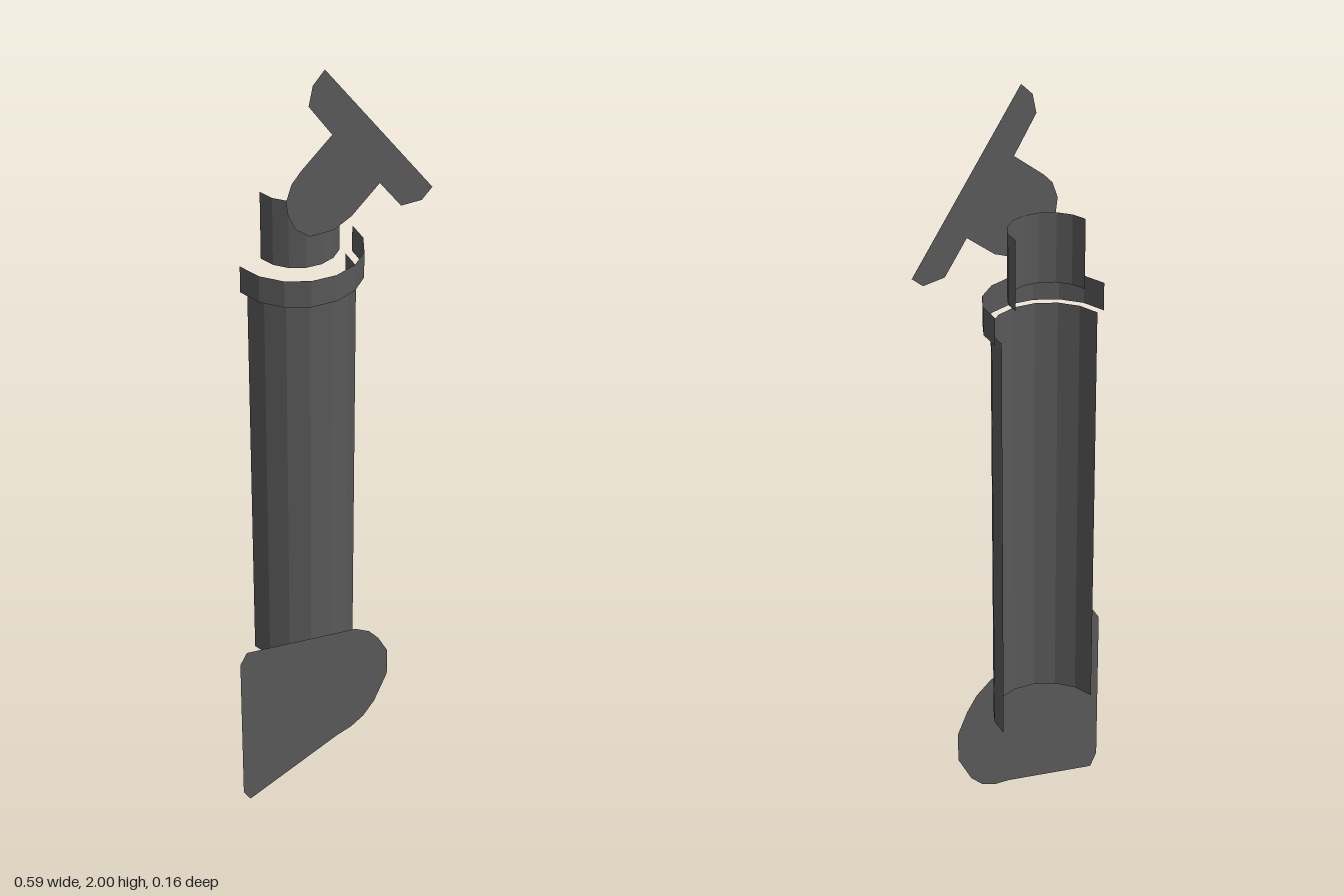
import * as THREE from 'three';

const darkGrey = new THREE.MeshStandardMaterial({ color: 0x585858, side: THREE.DoubleSide, flatShading: true });
darkGrey.name = 'dark grey';

const AXIS_X = -0.017;
const BACK_Z = -0.08;

// open half tube, bulging towards the front
function halfTube(name, radius, bottom, top) {
  const geo = new THREE.CylinderGeometry(radius, radius, top - bottom, 8, 1, true, -Math.PI / 2, Math.PI);
  const mesh = new THREE.Mesh(geo, darkGrey);
  mesh.name = name;
  mesh.position.set(AXIS_X, (bottom + top) / 2, BACK_Z);
  return mesh;
}

// flat upright plate cut from an outline
function plate(name, outline, z) {
  const shape = new THREE.Shape(outline.map(([x, y]) => new THREE.Vector2(x, y)));
  const mesh = new THREE.Mesh(new THREE.ShapeGeometry(shape), darkGrey);
  mesh.name = name;
  mesh.position.z = z;
  return mesh;
}

export function createModel() {
  const group = new THREE.Group();
  group.name = 'strut';

  // telescoping cylinder
  group.add(
    halfTube('mainTube', 0.139, 0.36, 1.44),
    halfTube('collar', 0.158, 1.44, 1.51),
    halfTube('pistonRod', 0.1, 1.51, 1.685),
  );

  // lower bracket: wide base narrowing to a rounded pivot
  group.add(plate('lowerBracket', [
    [-0.295, 0.47], [-0.295, 0.035], [-0.275, 0], [0, 0.075], [0.045, 0.082],
    [0.085, 0.1], [0.12, 0.135], [0.16, 0.21], [0.16, 0.29], [0.13, 0.347],
    [0.1, 0.385], [0.055, 0.415], [-0.005, 0.43], [-0.275, 0.5],
  ], 0.065));

  // upper bracket: rounded pivot carrying a slanted foot
  group.add(plate('upperBracket', [
    [-0.01, 2], [-0.042, 1.97], [-0.053, 1.923], [0.01, 1.835], [-0.075, 1.77],
    [-0.1, 1.745], [-0.115, 1.705], [-0.11, 1.67], [-0.09, 1.627], [-0.05, 1.595],
    [0.015, 1.59], [0.065, 1.61], [0.143, 1.67], [0.205, 1.59], [0.265, 1.585], [0.295, 1.61],
  ], 0.022));

  return group;
}
